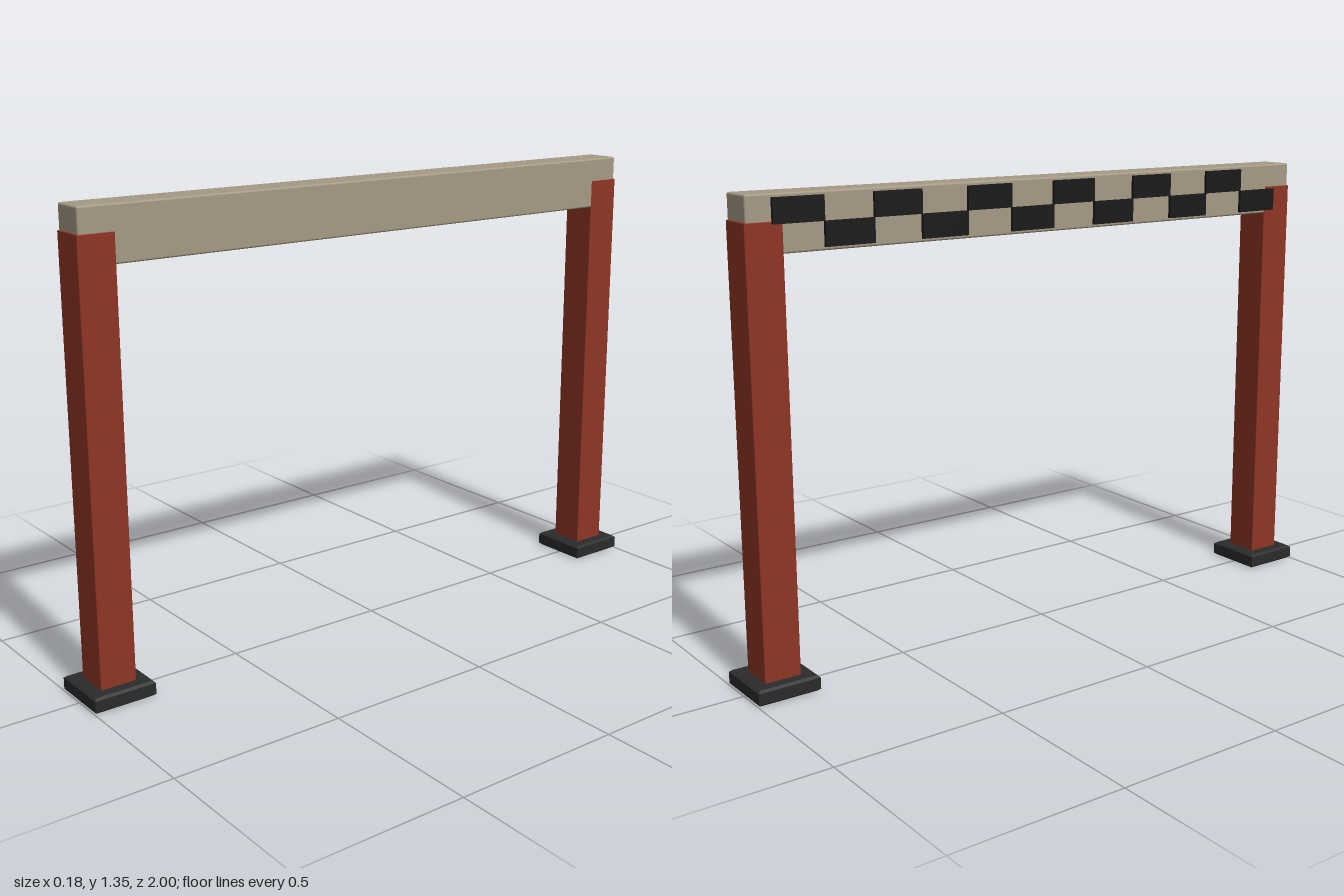
import * as THREE from 'three';
import { RoundedBoxGeometry } from 'three/addons/geometries/RoundedBoxGeometry.js';

const mat = (name, color) => {
  const m = new THREE.MeshStandardMaterial({ color });
  m.name = name;
  return m;
};

export function createModel() {
  const red = mat('redPaint', 0x8e3524);
  const beige = mat('beigePaint', 0xa69a85);
  const dark = mat('darkRubber', 0x2b2b2c);
  const black = mat('blackPaint', 0x1a1a1a);
  const root = new THREE.Group();
  root.name = 'finishGate';

  const add = (parent, name, geometry, material, x, y, z) => {
    const mesh = new THREE.Mesh(geometry, material);
    mesh.name = name;
    mesh.position.set(x, y, z);
    parent.add(mesh);
    return mesh;
  };

  // Foot: bevelled square frame, hollow underneath
  const square = (C, h) => new C([[-h, -h], [h, -h], [h, h], [-h, h]].map(([x, y]) => new THREE.Vector2(x, y)));
  const footShape = square(THREE.Shape, 0.084);
  footShape.holes.push(square(THREE.Path, 0.07));
  const footGeo = new THREE.ExtrudeGeometry(footShape, {
    depth: 0.033, bevelEnabled: true, bevelThickness: 0.006, bevelSize: 0.008, bevelSegments: 1,
  });
  footGeo.rotateX(-Math.PI / 2);

  // Posts with feet at both ends
  for (const s of [1, -1]) {
    const post = new THREE.Group();
    post.name = s > 0 ? 'frontPost' : 'backPost';
    post.position.z = s * 0.907;
    add(post, 'column', new RoundedBoxGeometry(0.107, 1.255, 0.107, 1, 0.003), red, 0, 0.6475, 0);
    add(post, 'footFrame', footGeo, dark, 0, 0.006, 0);
    add(post, 'footTop', new THREE.BoxGeometry(0.168, 0.015, 0.168), dark, 0, 0.0375, 0);
    root.add(post);
  }

  // Crossbeam
  add(root, 'crossbeam', new RoundedBoxGeometry(0.105, 0.155, 1.912, 2, 0.006), beige, 0, 1.2675, 0);

  // Checkered band on the right side of the beam
  const band = new THREE.Group();
  band.name = 'checkerBand';
  const cols = 12, cell = 1.77 / cols, rowH = 0.0675;
  const plate = new THREE.BoxGeometry(0.009, rowH, cell);
  for (let i = 0; i < cols; i++) {
    const y = i % 2 === 0 ? 1.2 + rowH * 1.5 : 1.2 + rowH * 0.5;
    add(band, 'checkerSquare', plate, black, -0.058, y, (i + 0.5 - cols / 2) * cell);
  }
  root.add(band);

  return root;
}
